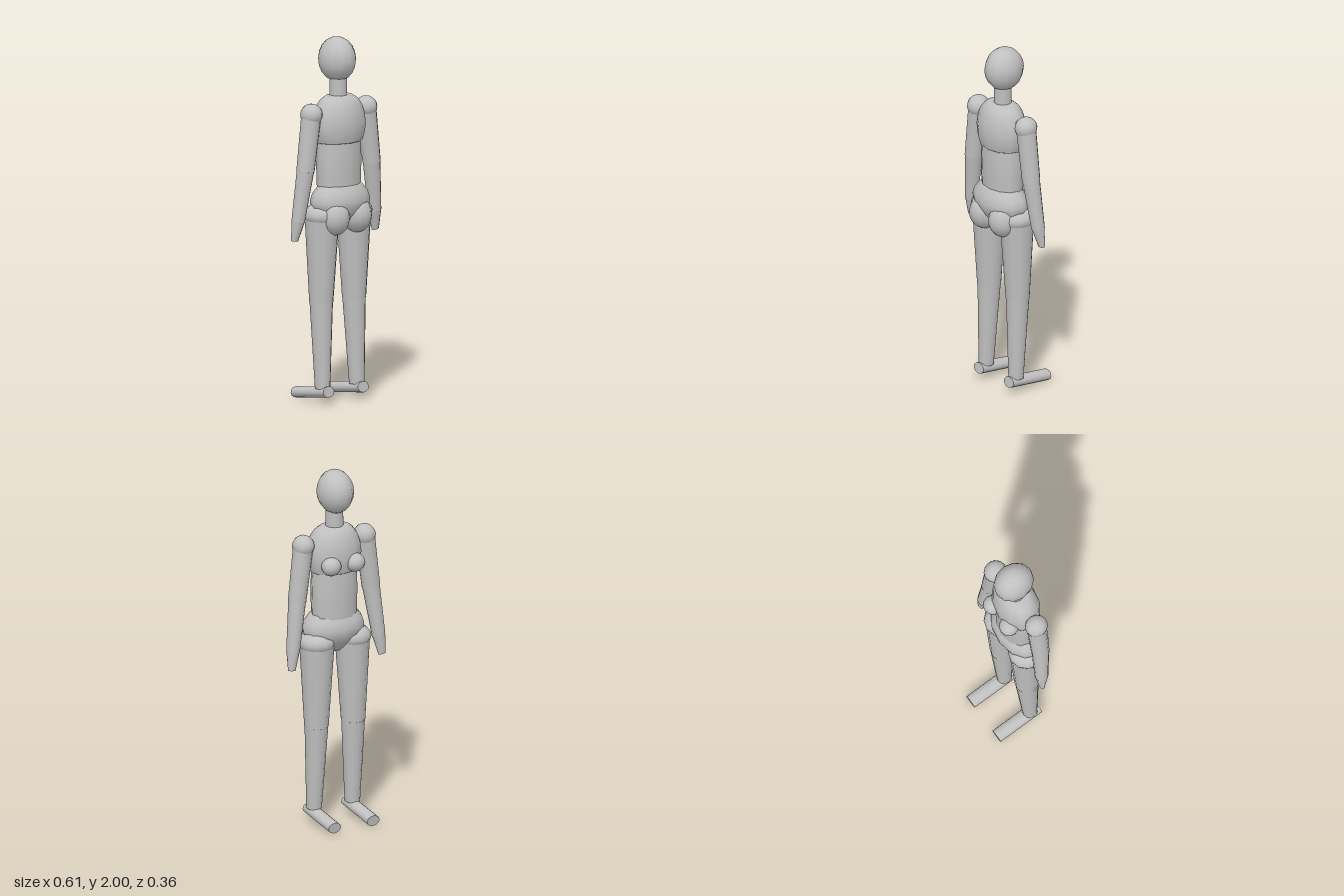
import * as THREE from 'three';

export function createModel() {
  const model = new THREE.Group();
  model.name = 'mannequin';
  const grey = new THREE.MeshStandardMaterial({ color: 0xc0c0c0 });
  grey.name = 'mannequin grey';
  const SIDES = 12;

  const add = (name, geometry) => {
    const mesh = new THREE.Mesh(geometry, grey);
    mesh.name = name;
    model.add(mesh);
    return mesh;
  };

  // Ellipsoid with centre c and half sizes r
  const ball = (name, c, r) =>
    add(name, new THREE.SphereGeometry(1, SIDES, 10).scale(...r).translate(...c));

  // Turned body section, flattened front to back
  const turned = (name, profile, depth, z) => {
    const points = profile.map(([r, y]) => new THREE.Vector2(r, y));
    add(name, new THREE.LatheGeometry(points, SIDES).scale(1, 1, depth).translate(0, 0, z));
  };

  // Tapered limb from a to b; the end sections may be flattened by depthA and depthB
  const limb = (name, a, b, rA, rB, depthA = 1, depthB = 1) => {
    const start = new THREE.Vector3(...a), end = new THREE.Vector3(...b);
    const axis = start.clone().sub(end);
    const length = axis.length();
    const geometry = new THREE.CylinderGeometry(rA, rB, length, SIDES);
    const p = geometry.attributes.position;
    for (let i = 0; i < p.count; i++) {
      p.setZ(i, p.getZ(i) * THREE.MathUtils.lerp(depthB, depthA, p.getY(i) / length + 0.5));
    }
    const mesh = add(name, geometry);
    mesh.quaternion.setFromUnitVectors(new THREE.Vector3(0, 1, 0), axis.normalize());
    mesh.position.copy(start).add(end).multiplyScalar(0.5);
  };

  // Head and neck
  ball('head', [0, 1.878, 0.021], [0.098, 0.122, 0.115]);
  limb('neck', [0, 1.79, 0.031], [0, 1.64, 0.031], 0.048, 0.049);

  // Torso
  turned('chest', [
    [0, 1.43], [0.137, 1.43], [0.141, 1.433], [0.156, 1.48], [0.16, 1.53],
    [0.153, 1.58], [0.136, 1.63], [0.11, 1.664], [0.08, 1.682], [0, 1.685],
  ], 0.74, 0.037);
  turned('abdomen', [
    [0.132, 1.17], [0.135, 1.25], [0.137, 1.32], [0.135, 1.38], [0.131, 1.45],
  ], 0.71, 0.035);
  turned('pelvis', [
    [0, 0.96], [0.05, 0.968], [0.1, 0.995], [0.15, 1.035], [0.18, 1.075],
    [0.185, 1.11], [0.172, 1.15], [0.14, 1.188], [0.132, 1.194], [0, 1.196],
  ], 0.66, 0.045);

  // Paired parts, facing -z
  for (const s of [1, -1]) {
    const side = s > 0 ? 'left' : 'right';
    const named = (part) => side + part;

    ball(named('Breast'), [0.075 * s, 1.485, -0.064], [0.055, 0.052, 0.053]);
    ball(named('Buttock'), [0.077 * s, 1.025, 0.095], [0.083, 0.097, 0.085]);
    ball(named('Shoulder'), [0.192 * s, 1.595, 0.035], [0.06, 0.06, 0.064]);
    ball(named('Hip'), [0.113 * s, 1.035, 0.028], [0.101, 0.068, 0.104]);

    limb(named('UpperArm'), [0.193 * s, 1.59, 0.035], [0.232 * s, 1.288, 0.033], 0.055, 0.05);
    limb(named('Forearm'), [0.232 * s, 1.29, 0.033], [0.268 * s, 1.015, 0.015], 0.048, 0.037);
    limb(named('Hand'), [0.268 * s, 1.017, 0.015], [0.283 * s, 0.907, 0.003], 0.037, 0.023, 0.95, 0.55);

    limb(named('Thigh'), [0.111 * s, 1.035, 0.028], [0.115 * s, 0.556, 0.026], 0.096, 0.066);
    ball(named('Knee'), [0.115 * s, 0.556, 0.026], [0.064, 0.02, 0.064]);
    limb(named('Shin'), [0.115 * s, 0.556, 0.026], [0.12 * s, 0.085, 0.043], 0.064, 0.042);

    // Foot: a flattened bar sloping down to the toes
    const foot = add(named('Foot'),
      new THREE.CylinderGeometry(0.039, 0.039, 0.277, SIDES).scale(1, 1, 0.78));
    foot.rotation.x = Math.PI / 2 + 0.14;
    foot.rotation.x = -Math.PI / 2 - 0.14;
    foot.position.set(0.121 * s, 0.053, -0.041);
  }
  return model;
}
